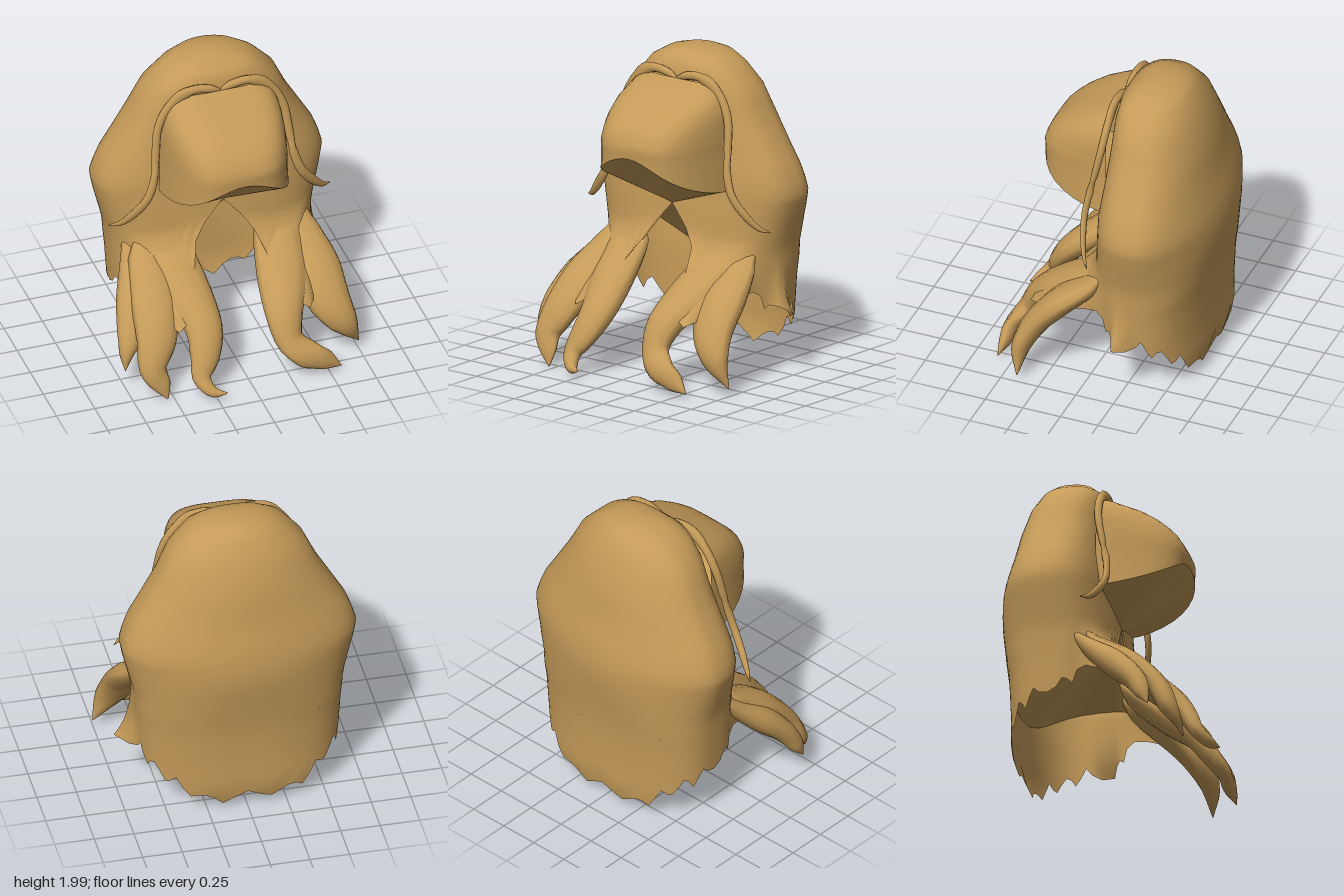
import * as THREE from 'three';
import { mergeVertices } from 'three/addons/utils/BufferGeometryUtils.js';

const hair = new THREE.MeshStandardMaterial({ color: 0xc49a58, side: THREE.DoubleSide });
hair.name = 'golden hair';

// linear lookup in rows of [key, a, b, ...] with ascending keys
function lookup(table, k) {
  let i = 0;
  while (i < table.length - 2 && k > table[i + 1][0]) i++;
  const p = table[i], q = table[i + 1];
  const t = THREE.MathUtils.clamp((k - p[0]) / (q[0] - p[0]), 0, 1);
  return p.slice(1).map((v, j) => v + (q[j + 1] - v) * t);
}

// smooth surface through rows of points
function skin(rows, wrap) {
  const n = rows[0].length, index = [];
  for (let r = 0; r < rows.length - 1; r++) {
    for (let c = 0; c < (wrap ? n : n - 1); c++) {
      const a = r * n + c, d = r * n + (c + 1) % n;
      index.push(a, a + n, d, a + n, d + n, d);
    }
  }
  let g = new THREE.BufferGeometry().setFromPoints(rows.flat());
  g.setIndex(index);
  g = mergeVertices(g, 1e-4);
  g.computeVertexNormals();
  return g;
}

// faceted fan from an apex to an edge
function fan(edge, apex) {
  const pts = [];
  for (let i = 0; i < edge.length - 1; i++) pts.push(edge[i], apex, edge[i + 1]);
  const g = new THREE.BufferGeometry().setFromPoints(pts);
  g.computeVertexNormals();
  return g;
}

// tapering strand along rows of [x, y, z, half width, half thickness]
function strand(knots, ref, steps = 24, sides = 12) {
  const path = new THREE.CatmullRomCurve3(knots.map(k => new THREE.Vector3(k[0], k[1], k[2])));
  const size = new THREE.CatmullRomCurve3(knots.map(k => new THREE.Vector3(k[3], k[4], 0)));
  const rows = [];
  for (let i = 0; i <= steps; i++) {
    const p = path.getPoint(i / steps), t = path.getTangent(i / steps), s = size.getPoint(i / steps);
    const side = ref.clone().addScaledVector(t, -ref.dot(t)).normalize();
    const front = t.clone().cross(side);
    rows.push(Array.from({ length: sides }, (_, j) => {
      const a = j / sides * Math.PI * 2;
      return p.clone().addScaledVector(side, Math.sin(a) * Math.max(s.x, 0.001))
        .addScaledVector(front, Math.cos(a) * Math.max(s.y, 0.001));
    }));
  }
  return skin(rows, true);
}

// head of hair by height: [y, half width, front z, back z]
const SECTIONS = [
  [0.03, 0.58, 0.04, -0.6], [0.15, 0.61, 0.04, -0.635], [0.35, 0.63, 0.04, -0.63], [0.6, 0.645, 0.04, -0.64],
  [0.8, 0.66, 0.035, -0.67], [0.96, 0.7, 0.02, -0.695], [1.06, 0.725, 0.01, -0.7], [1.15, 0.74, 0, -0.69],
  [1.22, 0.72, 0, -0.68], [1.3, 0.69, -0.01, -0.66], [1.42, 0.62, -0.02, -0.635], [1.6, 0.515, -0.03, -0.605],
  [1.78, 0.43, -0.04, -0.55], [1.9, 0.32, -0.06, -0.49], [1.96, 0.22, -0.12, -0.44],
  [1.985, 0.13, -0.17, -0.38], [2, 0, -0.28, -0.28],
];
// lower edge by angle from the front
const HEM = [[0, 1.04], [0.1, 0.88], [0.23, 0.73], [0.32, 0.5], [0.6, 0.4], [0.85, 0.46], [1.02, 0.56],
  [1.42, 0.41], [1.8, 0.36], [2.07, 0.33], [2.45, 0.2], [2.8, 0.1], [3.15, 0.07]];
// forward sweep of the front hair by height
const SWEEP = [[0.4, 0.44], [0.5, 0.345], [0.6, 0.235], [0.68, 0.12], [0.75, 0.045], [0.84, 0]];

function shellPoint(phi, y) {
  const [rx, zf, zb] = lookup(SECTIONS, y);
  const s = Math.sin(phi), c = Math.cos(phi);
  const e = 2 / (c > 0 ? 2.8 : 2 + 0.6 * THREE.MathUtils.clamp((1 - y) / 0.3, 0, 1));
  const x = rx * Math.sign(s) * Math.abs(s) ** e;
  const z = (zf + zb) / 2 + (zf - zb) / 2 * Math.sign(c) * Math.abs(c) ** e;
  return new THREE.Vector3(x, y, z);
}

function hairShell() {
  const N = 72, rows = [];
  const upper = [2, 1.985, 1.96, 1.93, 1.9, 1.84, 1.78, 1.69, 1.6, 1.51, 1.42, 1.36, 1.3, 1.22, 1.15, 1.1, 1.04];
  const phi = j => j / N * Math.PI * 2;
  for (const y of upper) rows.push(Array.from({ length: N }, (_, j) => shellPoint(phi(j), y)));
  for (let i = 1; i <= 12; i++) {
    const t = i / 12;
    rows.push(Array.from({ length: N }, (_, j) => {
      const a = Math.min(phi(j), Math.PI * 2 - phi(j));
      let hem = lookup(HEM, a)[0];
      // ragged tips along the sides and back
      if (a > 1.1) hem += [0.05, 0, -0.05, 0][j % 4] * (0.8 + 0.4 * Math.sin(j * 2.3));
      const p = shellPoint(phi(j), 1.04 + (hem - 1.04) * t);
      // front hair flows forward into the locks
      p.z += lookup(SWEEP, p.y)[0] * (1 - THREE.MathUtils.smoothstep(a, 0.65, 1.15));
      // one tip flicks outward on the left
      p.x += 0.13 * Math.exp(-((j - 17) ** 2)) * t ** 4;
      return p;
    }));
  }
  return skin(rows, true);
}

// rounded forelock: [y, half width, depth]
const FORELOCK = [[1.17, 0.405, 0.44], [1.41, 0.39, 0.445], [1.48, 0.39, 0.45], [1.57, 0.385, 0.41],
  [1.64, 0.38, 0.345], [1.71, 0.365, 0.25], [1.78, 0.325, 0.1], [1.83, 0.25, -0.02]];
function forelockRows() {
  const rows = [];
  for (let i = 0; i <= 14; i++) {
    rows.push(Array.from({ length: 25 }, (_, j) => {
      const s = Math.sin((j / 12 - 1) * Math.PI / 2);
      const rim = 1.17 + 0.24 * (1 - Math.abs(s) ** 1.9);
      const y = 1.83 + (rim - 1.83) * i / 14;
      const [w, d] = lookup(FORELOCK, y);
      return new THREE.Vector3(w * s, y, -0.05 + (d + 0.05) * Math.max(0, 1 - s ** 4) ** 0.6);
    }));
  }
  return rows;
}

// front locks on the model's right and left
const LOCKS = {
  rightInnerLock: [[-0.36, 0.8, -0.06, 0.1, 0.03], [-0.35, 0.72, 0.01, 0.15, 0.06], [-0.3, 0.54, 0.23, 0.15, 0.085],
    [-0.26, 0.38, 0.42, 0.12, 0.08], [-0.29, 0.25, 0.52, 0.095, 0.06], [-0.33, 0.14, 0.58, 0.06, 0.045],
    [-0.28, 0.07, 0.65, 0.035, 0.035], [-0.2, 0.07, 0.69, 0.003, 0.003]],
  rightMiddleLock: [[-0.48, 0.78, -0.06, 0.08, 0.03], [-0.49, 0.7, 0.0, 0.12, 0.06], [-0.52, 0.53, 0.22, 0.15, 0.085],
    [-0.56, 0.36, 0.39, 0.13, 0.07], [-0.61, 0.2, 0.47, 0.09, 0.06], [-0.57, 0.1, 0.52, 0.06, 0.03], [-0.54, 0.01, 0.55, 0.003, 0.003]],
  rightOuterLock: [[-0.56, 0.76, -0.13, 0.05, 0.03], [-0.58, 0.65, -0.02, 0.08, 0.06], [-0.64, 0.5, 0.15, 0.1, 0.085],
    [-0.69, 0.36, 0.28, 0.09, 0.07], [-0.74, 0.25, 0.34, 0.045, 0.05], [-0.76, 0.16, 0.38, 0.003, 0.003]],
  leftInnerLock: [[0.36, 0.8, -0.06, 0.1, 0.03], [0.35, 0.72, 0.01, 0.15, 0.06], [0.31, 0.54, 0.23, 0.16, 0.085],
    [0.26, 0.38, 0.42, 0.12, 0.08], [0.27, 0.24, 0.51, 0.09, 0.06], [0.36, 0.16, 0.57, 0.09, 0.05],
    [0.47, 0.1, 0.58, 0.07, 0.04], [0.575, 0.04, 0.59, 0.003, 0.003]],
  leftOuterLock: [[0.5, 0.78, -0.09, 0.08, 0.03], [0.5, 0.69, -0.01, 0.13, 0.06], [0.54, 0.53, 0.19, 0.16, 0.085],
    [0.58, 0.37, 0.33, 0.14, 0.08], [0.66, 0.22, 0.4, 0.09, 0.06], [0.755, 0.06, 0.39, 0.003, 0.003]],
};

// raised edge framing the face, for the +x side
const EDGE = [[0.0, 1.825, -0.03, 0.008, 0.008], [0.07, 1.85, -0.035, 0.025, 0.026], [0.19, 1.86, -0.035, 0.025, 0.03],
  [0.32, 1.785, -0.04, 0.025, 0.03], [0.405, 1.64, -0.03, 0.025, 0.028], [0.435, 1.45, 0.005, 0.022, 0.028],
  [0.455, 1.3, 0.035, 0.022, 0.028], [0.5, 1.17, 0.045, 0.02, 0.03], [0.58, 1.06, 0.02, 0.018, 0.03],
  [0.66, 0.98, -0.02, 0.012, 0.02], [0.72, 0.955, -0.06, 0.003, 0.003]];

export function createModel() {
  const model = new THREE.Group();
  model.name = 'wig';
  const add = (name, geometry) => {
    const mesh = new THREE.Mesh(geometry, hair);
    mesh.name = name;
    model.add(mesh);
  };

  add('hairShell', hairShell());

  // forelock with its shaded underside
  const rows = forelockRows();
  const apex = new THREE.Vector3(0, 1.04, 0.01);
  add('forelock', skin(rows, false));
  add('forelockUnderside', fan(rows[rows.length - 1], apex));

  // underside closing the head, sloping back to the nape
  const nape = Array.from({ length: 25 }, (_, i) => {
    const phi = 0.45 + i / 24 * (Math.PI * 2 - 0.9);
    const { x } = shellPoint(phi, 0.6);
    return shellPoint(phi, 0.52 + 0.7 * x * x);
  });
  add('napeUnderside', fan(nape, apex));

  // front locks and the face edge
  const X = new THREE.Vector3(1, 0, 0), Z = new THREE.Vector3(0, 0, 1);
  for (const [name, knots] of Object.entries(LOCKS)) add(name, strand(knots, X));
  for (const s of [1, -1]) {
    const knots = EDGE.map(([x, ...rest]) => [x * s, ...rest]);
    add(s > 0 ? 'leftFaceEdge' : 'rightFaceEdge', strand(knots, Z, 40, 8));
  }
  return model;
}
